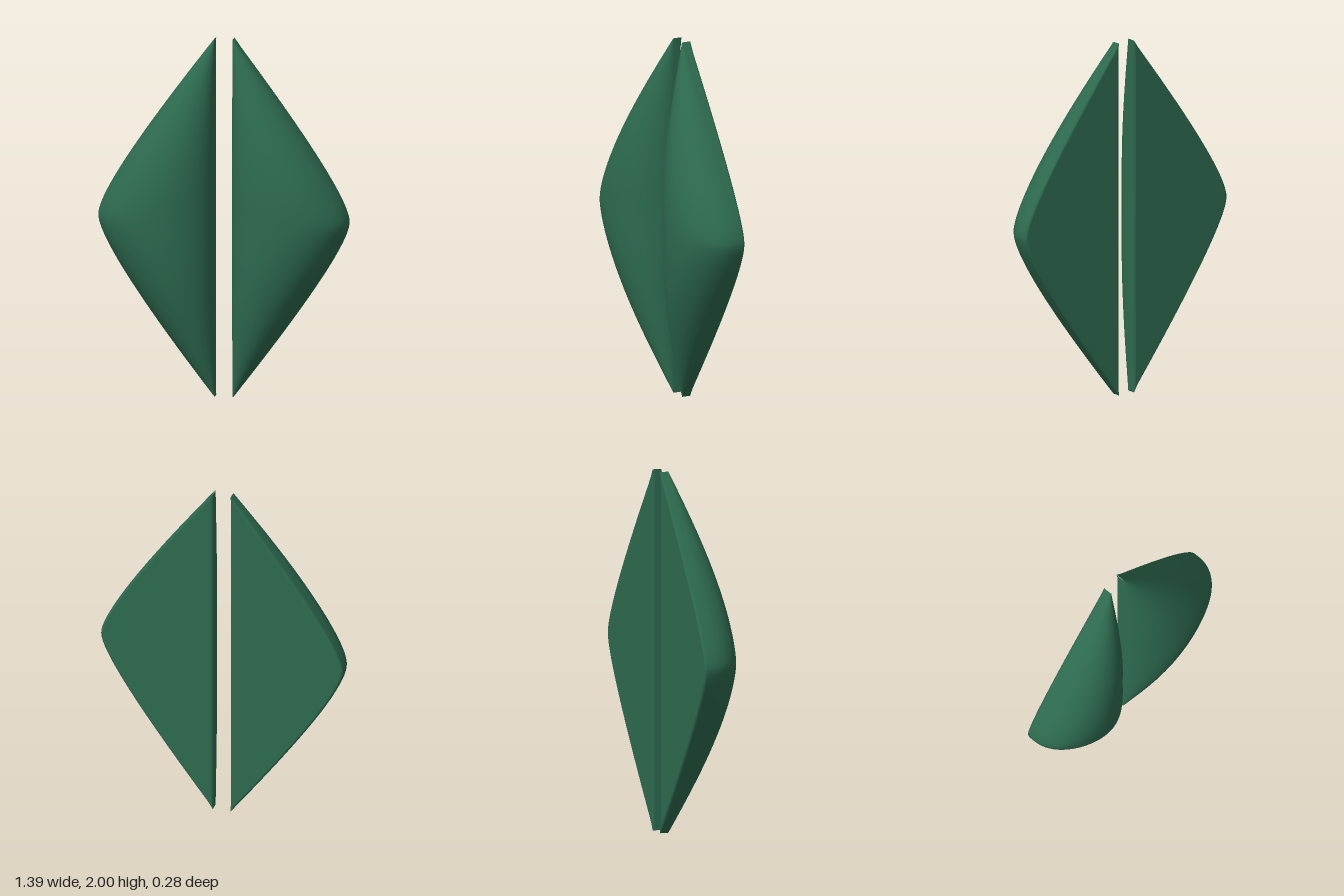
import * as THREE from 'three';
import { mergeGeometries } from 'three/addons/utils/BufferGeometryUtils.js';

const INNER = 0.05, WIDTH = 0.645; // gap beside the centre line, widest point
const BACK = -0.14, RIM = -0.09, DOME = 0.23, BEVEL = 0.014;

// Outline stations from bottom tip to top tip
function outline() {
  const curve = new THREE.QuadraticBezierCurve(
    new THREE.Vector2(0.002, 1), new THREE.Vector2(WIDTH, 0.16), new THREE.Vector2(WIDTH, 0));
  const upper = curve.getPoints(36); // tip to middle, y measured from the middle
  const lower = upper.map((p) => new THREE.Vector2(p.x, -p.y));
  return [...lower, ...upper.reverse().slice(1)];
}

// Domed cross-section with rounded back corners, inner side to outer side
function section(width, y) {
  const height = DOME * Math.cos((Math.PI / 2) * y);
  const b = Math.min(BEVEL, width / 3);
  const corner = [];
  for (let k = 0; k <= 3; k++) {
    const a = (k / 3) * Math.PI / 2;
    corner.push([b * (1 - Math.sin(a)), BACK + BEVEL * (1 - Math.cos(a))]);
  }
  const dome = [];
  for (let k = 0; k <= 36; k++) {
    const a = (k / 36) * Math.PI;
    dome.push([width * (1 - Math.cos(a)) / 2, RIM + height * Math.sin(a)]);
  }
  const far = corner.map(([x, z]) => [width - x, z]).reverse();
  return [...corner, ...dome, ...far];
}

// Skin through rows of points; the winding flips on the mirrored side
function skin(rows, side) {
  const n = rows[0].length, index = [];
  for (let i = 0; i < rows.length - 1; i++) {
    for (let j = 0; j < n - 1; j++) {
      const a = i * n + j, b = a + 1, c = a + n, d = c + 1;
      if (side > 0) index.push(a, b, d, a, d, c);
      else index.push(a, d, b, a, c, d);
    }
  }
  const geometry = new THREE.BufferGeometry();
  geometry.setAttribute('position', new THREE.Float32BufferAttribute(rows.flat(2), 3));
  geometry.setIndex(index);
  geometry.computeVertexNormals();
  return geometry;
}

function halfGeometry(side) {
  const rows = outline().map((p) =>
    section(p.x, p.y).map(([x, z]) => [side * (INNER + x), 1 + p.y, z]));
  const backRows = rows.map((r) => [r[r.length - 1], r[0]]);
  return mergeGeometries([skin(rows, side), skin(backRows, side)]);
}

export function createModel() {
  const group = new THREE.Group();
  group.name = 'splitGem';
  const material = new THREE.MeshStandardMaterial({ color: 0x2d6a4f });
  for (const side of [1, -1]) {
    const half = new THREE.Mesh(halfGeometry(side), material);
    half.name = side > 0 ? 'leftHalf' : 'rightHalf';
    group.add(half);
  }
  return group;
}
